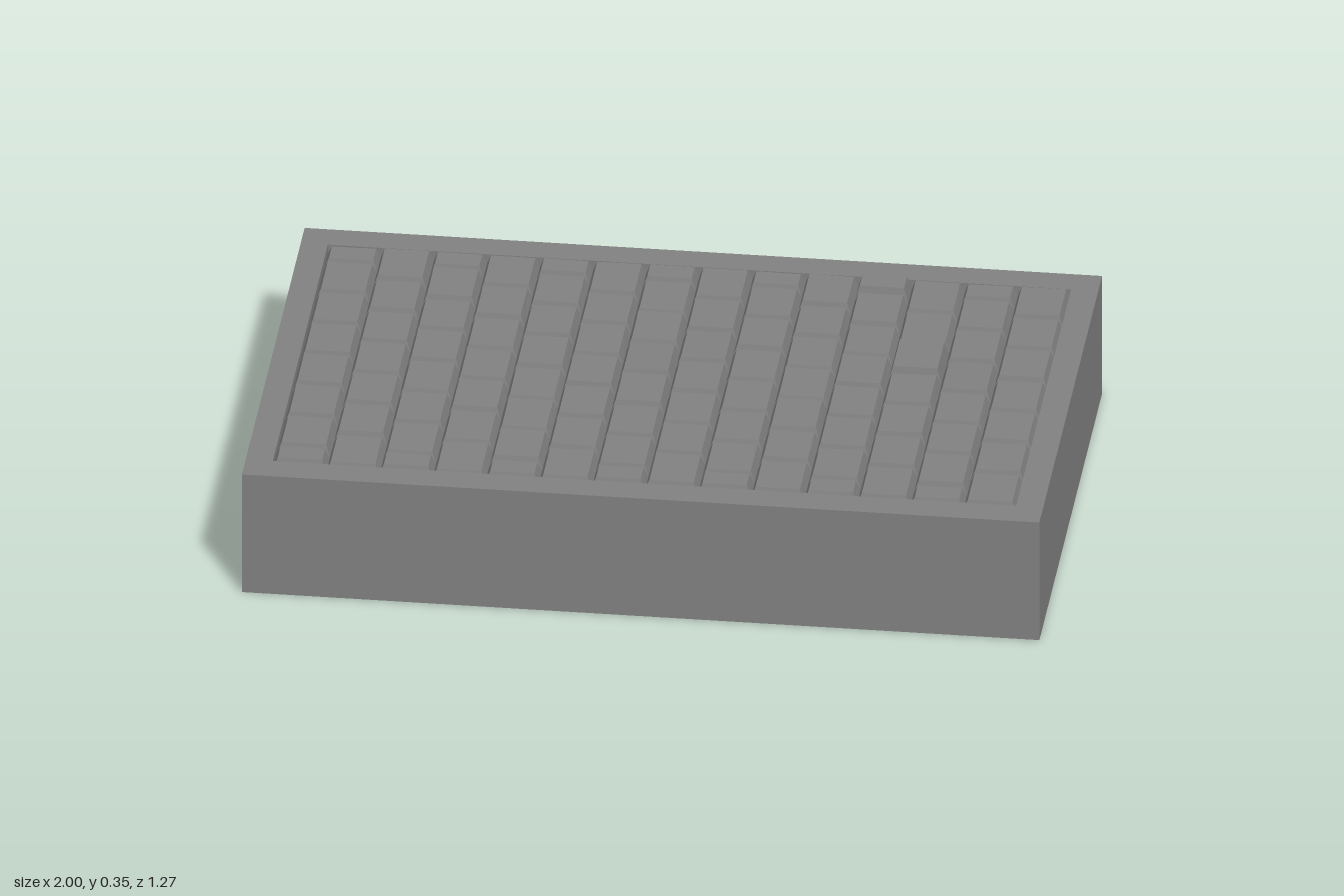
import * as THREE from 'three';

const HX = 1, HZ = 0.635, RIM_Y = 0.335;      // outer half sizes and rim height
const FX = 0.932, FZ = 0.557;                 // half sizes of the paved field
const GROOVE_Y = 0.31, BEVEL = 0.011;
const COLS = 14, ROWS = 7;

function quadGeometry(quads) {
  const pos = [];
  for (const [a, b, c, d] of quads) pos.push(...a, ...b, ...c, ...a, ...c, ...d);
  const g = new THREE.BufferGeometry();
  g.setAttribute('position', new THREE.Float32BufferAttribute(pos, 3));
  g.computeVertexNormals();
  return g;
}

// Rectangle corners, counter-clockwise seen from above
const ring = (x0, x1, z0, z1, y) => [[x0, y(x0, z1), z1], [x1, y(x1, z1), z1], [x1, y(x1, z0), z0], [x0, y(x0, z0), z0]];

// Four side faces between two rings
const band = (low, high) => low.map((p, i) => [p, low[(i + 1) % 4], high[(i + 1) % 4], high[i]]);

export function createModel() {
  const group = new THREE.Group();
  const stone = new THREE.MeshStandardMaterial({ color: 0x808080, side: THREE.DoubleSide });
  stone.name = 'grey stone';

  const add = (name, quads) => {
    const mesh = new THREE.Mesh(quadGeometry(quads), stone);
    mesh.name = name;
    group.add(mesh);
  };

  let seed = 7;
  const rand = () => (seed = (seed * 16807) % 2147483647) / 2147483647;

  const flat = (y) => () => y;
  const outerTop = ring(-HX, HX, -HZ, HZ, flat(RIM_Y));
  const innerTop = ring(-FX, FX, -FZ, FZ, flat(RIM_Y));
  const innerLow = ring(-FX, FX, -FZ, FZ, flat(GROOVE_Y));

  // Open-bottomed block with a flat rim and a shallow recess
  add('outerWalls', band(ring(-HX, HX, -HZ, HZ, flat(0)), outerTop));
  add('topRim', band(outerTop, innerTop));
  add('recessEdge', band(innerTop, innerLow));

  // Running-bond cobbles: hollow bevelled caps with slightly uneven tops
  const w = 2 * FX / COLS, l = 2 * FZ / ROWS;
  const cobbles = [];
  for (let c = 0; c < COLS; c++) {
    const shifted = c % 2 === 0;
    const x0 = -FX + c * w, x1 = x0 + w;
    for (let r = 0; r < ROWS + (shifted ? 1 : 0); r++) {
      const start = -FZ + (r - (shifted ? 0.5 : 0)) * l;
      const z0 = Math.max(-FZ, start), z1 = Math.min(FZ, start + l);
      const raised = (c === 11 && r === 2) || (c === 10 && r === 0);
      const h = raised ? 0.349 : 0.337 + 0.004 * rand();
      const tx = (rand() - 0.5) * 0.03, tz = (rand() - 0.5) * 0.03;
      const cx = (x0 + x1) / 2, cz = (z0 + z1) / 2;
      const tilt = (x, z) => (raised ? h : h + tx * (x - cx) + tz * (z - cz));
      const base = ring(x0, x1, z0, z1, flat(GROOVE_Y));
      const top = ring(x0 + BEVEL, x1 - BEVEL, z0 + BEVEL, z1 - BEVEL, tilt);
      cobbles.push(...band(base, top), top);
    }
  }
  add('cobbles', cobbles);
  return group;
}
